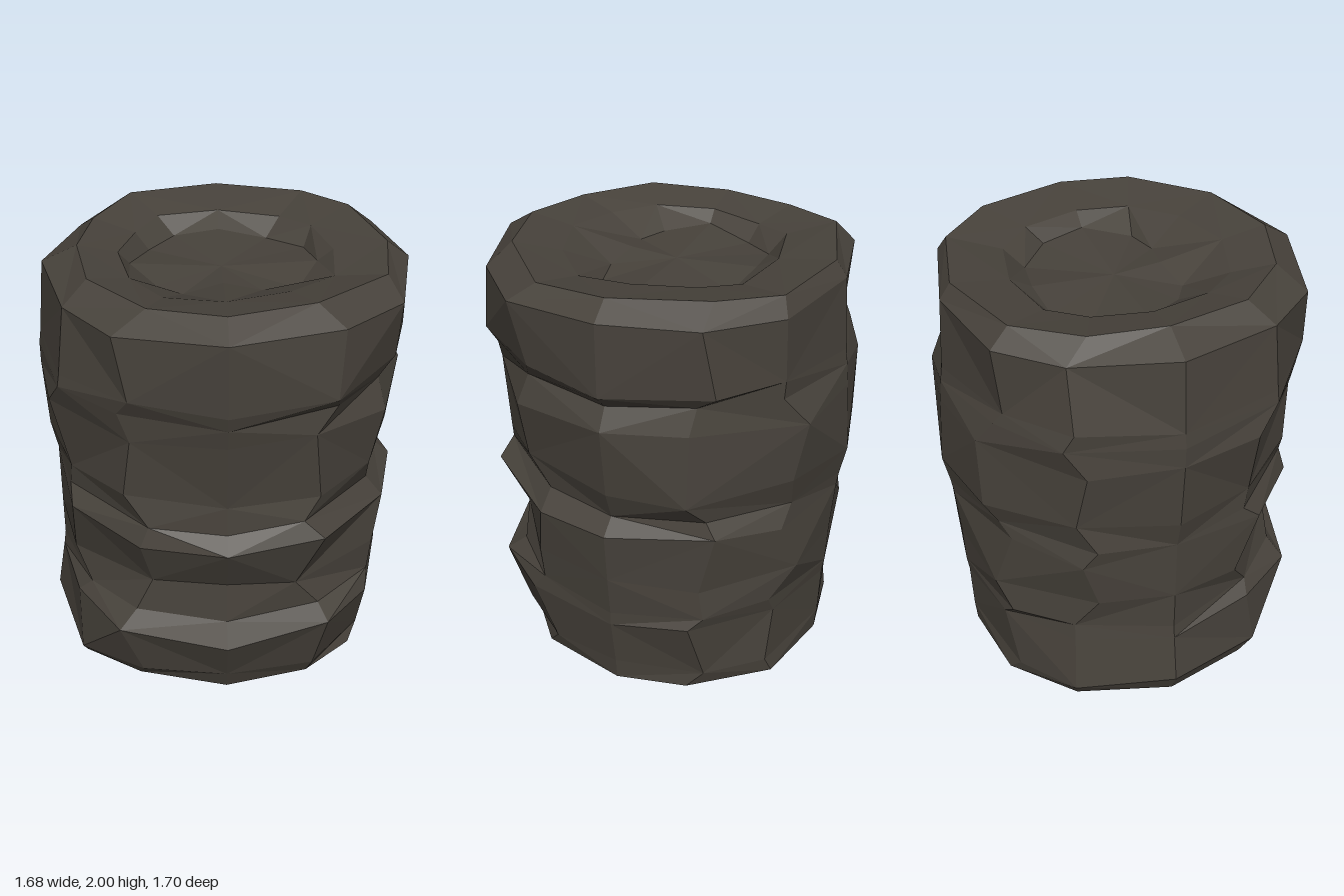
import * as THREE from 'three';

const SIDES = 12;

// Folded side, from bottom to top: height, then radius towards +x, +z, -x, -z
const BODY = [
  [0.01, 0.73, 0.70, 0.79, 0.75],
  [0.10, 0.74, 0.74, 0.84, 0.76],
  [0.38, 0.78, 0.85, 0.80, 0.77],
  [0.45, 0.78, 0.73, 0.79, 0.78],
  [0.62, 0.80, 0.71, 0.79, 0.79],
  [0.88, 0.82, 0.83, 0.79, 0.81],
  [0.96, 0.74, 0.76, 0.79, 0.82],
  [1.09, 0.79, 0.75, 0.82, 0.85],
  [1.41, 0.83, 0.80, 0.84, 0.83],
  [1.53, 0.77, 0.82, 0.84, 0.82],
  [1.60, 0.84, 0.84, 0.83, 0.81],
  [1.91, 0.84, 0.85, 0.80, 0.79],
  [1.99, 0.74, 0.73, 0.64, 0.74],
];

// Top face: rim, lip of the shallow hollow, edge of its floor
const TOP = [
  BODY[BODY.length - 1],
  [1.95, 0.50, 0.52, 0.46, 0.48],
  [1.88, 0.43, 0.22, 0.41, 0.38],
];

// Point on a ring: radius blended between the four directions, then crumpled
function ringPoint([height, ...radii], j) {
  const k = j % SIDES;
  const quarter = (k * 4) / SIDES;
  const q = Math.floor(quarter);
  const f = quarter - q;
  const crumple = f ? 1 : 0;
  const radius = radii[q] * (1 - f) + radii[(q + 1) % 4] * f
    + crumple * (0.015 + 0.02 * Math.sin(height * 9 + k * 2.7));
  const angle = (k / SIDES) * Math.PI * 2 + crumple * 0.08 * Math.sin(height * 17 + k * 1.9);
  const y = height + (height > 0.05 && height < 1.9 ? 0.02 : 0.009) * Math.sin(height * 11 + k * 2.1);
  return [Math.cos(angle) * radius, y, Math.sin(angle) * radius];
}

// Faces between successive rings, with alternating diagonals, and an optional end cap
function skin(rings, capBottom, capTop) {
  const positions = [];
  const tri = (a, b, c) => positions.push(...a, ...b, ...c);
  const last = rings.length - 1;
  for (let j = 0; j < SIDES; j++) {
    for (let i = 0; i < last; i++) {
      const a = ringPoint(rings[i], j);
      const b = ringPoint(rings[i], j + 1);
      const c = ringPoint(rings[i + 1], j);
      const d = ringPoint(rings[i + 1], j + 1);
      if ((i + j) % 2) {
        tri(a, c, b);
        tri(b, c, d);
      } else {
        tri(a, c, d);
        tri(a, d, b);
      }
    }
    if (capBottom) tri([0, 0, 0], ringPoint(rings[0], j), ringPoint(rings[0], j + 1));
    if (capTop) tri([0, rings[last][0], 0], ringPoint(rings[last], j + 1), ringPoint(rings[last], j));
  }
  const geometry = new THREE.BufferGeometry();
  geometry.setAttribute('position', new THREE.Float32BufferAttribute(positions, 3));
  geometry.computeVertexNormals();
  return geometry;
}

export function createModel() {
  const group = new THREE.Group();
  group.name = 'crumpledDrum';
  const darkBrown = new THREE.MeshStandardMaterial({ color: 0x47423b });
  darkBrown.name = 'dark brown';
  darkBrown.flatShading = true;

  // Folded side wall with its flat base
  const body = new THREE.Mesh(skin(BODY, true, false), darkBrown);
  body.name = 'foldedBody';

  // Top face sinking into the hollow
  const top = new THREE.Mesh(skin(TOP, false, true), darkBrown);
  top.name = 'hollowTop';

  group.add(body, top);
  return group;
}
